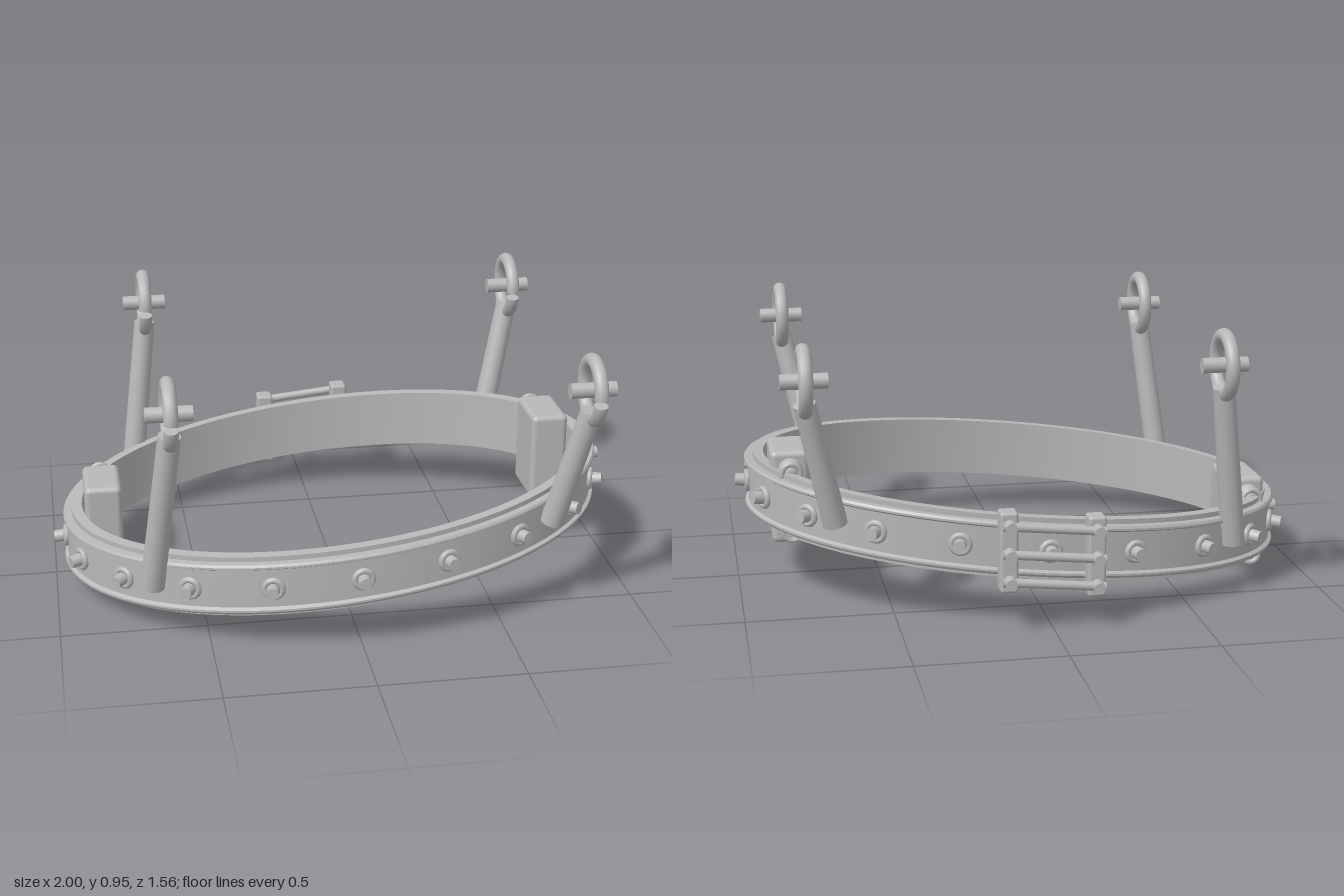
import * as THREE from 'three';
import { RoundedBoxGeometry } from 'three/addons/geometries/RoundedBoxGeometry.js';

const A = 0.965, B = 0.722, CZ = 0.02;          // belt ellipse and its centre in z
const beltY = (x) => 0.255 + 0.1 * x;           // the belt slopes up towards +x
const V = (x, y, z) => new THREE.Vector3(x, y, z);
const UP = V(0, 1, 0);

// outward normal, and a point offset d from the ellipse
const normalAt = (t) => V(Math.cos(t) / A, 0, Math.sin(t) / B).normalize();
function pointAt(t, d, y = 0) {
  const p = V(A * Math.cos(t), 0, CZ + B * Math.sin(t)).addScaledVector(normalAt(t), d);
  p.y = beltY(p.x) + y;
  return p;
}

// sweep a closed [offset, height] profile round the ellipse, creased at profile corners
function sweepBelt(profile, n) {
  const pos = [], idx = [];
  profile.forEach((p, k) => {
    const q = profile[(k + 1) % profile.length], base = pos.length / 3;
    for (let i = 0; i < n; i++) {
      const t = (i / n) * Math.PI * 2;
      pos.push(...pointAt(t, ...p).toArray(), ...pointAt(t, ...q).toArray());
      const a = base + 2 * i, c = base + 2 * ((i + 1) % n);
      idx.push(a, a + 1, c, a + 1, c + 1, c);
    }
  });
  const g = new THREE.BufferGeometry();
  g.setAttribute('position', new THREE.Float32BufferAttribute(pos, 3));
  g.setIndex(idx);
  g.computeVertexNormals();
  return g;
}

export function createModel() {
  const model = new THREE.Group();
  model.name = 'harnessBelt';
  const steel = new THREE.MeshStandardMaterial({ color: 0xb8b8b8 });
  steel.name = 'steel grey';

  const add = (name, geo, x = 0, y = 0, z = 0) => {
    const m = new THREE.Mesh(geo, steel);
    m.name = name;
    m.position.set(x, y, z);
    model.add(m);
    return m;
  };
  // cylinder from a to b
  const rod = (name, a, b, r0, r1 = r0) => {
    const d = b.clone().sub(a);
    const m = add(name, new THREE.CylinderGeometry(r1, r0, d.length(), 20));
    m.position.copy(a).addScaledVector(d, 0.5);
    m.quaternion.setFromUnitVectors(UP, d.normalize());
    return m;
  };

  // belt with raised rims and a taller liner
  add('belt', sweepBelt([
    [-0.067, -0.107], [-0.03, -0.107], [-0.03, -0.09], [-0.005, -0.09], [0, -0.082], [0, -0.075],
    [-0.012, -0.068], [-0.012, 0.068], [0, 0.075], [0, 0.082], [-0.005, 0.09], [-0.03, 0.09],
    [-0.03, 0.107], [-0.067, 0.107],
  ], 80));

  // studs with collars
  for (let i = 0; i < 20; i++) {
    const t = (i / 20) * Math.PI * 2;
    rod('stud', pointAt(t, -0.03), pointAt(t, 0.035), 0.024, 0.021);
    const collar = add('studCollar', new THREE.TorusGeometry(0.03, 0.011, 8, 20));
    collar.position.copy(pointAt(t, -0.008));
    collar.quaternion.setFromUnitVectors(V(0, 0, 1), normalAt(t));
  }

  // four hanging arms, each with an open ring and a cross pin
  const sides = [
    { low: V(-0.685, 0.185, 0), topX: -0.617 },
    { low: V(0.69, 0.325, 0), topX: 0.787 },
  ];
  for (const { low, topX } of sides) {
    for (const [lowZ, topZ] of [[0.535, 0.612], [-0.49, -0.56]]) {
      rod('hangingArm', V(low.x, low.y, lowZ), V(topX, 0.755, topZ), 0.042, 0.038);
      const ring = new THREE.TorusGeometry(0.1, 0.024, 12, 40, 6.08).rotateY(-Math.PI / 2);
      add('hangingRing', ring, topX, 0.83, topZ);
      // rounded ends of the open ring
      for (const a of [0, 6.08]) {
        add('ringEnd', new THREE.CircleGeometry(0.024, 12).rotateX(a ? -Math.PI / 2 : Math.PI / 2)
          .rotateX(-a), topX, 0.83 + 0.1 * Math.sin(a), topZ + 0.1 * Math.cos(a));
      }
      rod('crossPin', V(topX - 0.078, 0.83, topZ), V(topX + 0.078, 0.83, topZ), 0.026);
    }
  }

  // side pouches with ball fasteners on the back face
  for (const [x, y] of [[-0.82, 0.167], [0.818, 0.342]]) {
    add('pouch', new RoundedBoxGeometry(0.133, 0.328, 0.232, 3, 0.02), x, y, -0.089);
    for (const dy of [-0.103, 0.103]) {
      add('fastenerBall', new THREE.SphereGeometry(0.042, 20, 14), x, y + dy, -0.226);
      add('fastenerRing', new THREE.TorusGeometry(0.032, 0.01, 8, 20), x, y + dy, -0.27);
    }
  }

  // rear buckle: two posts joined by three bars with end knobs
  for (const x of [-0.147, 0.147]) {
    add('bucklePost', new RoundedBoxGeometry(0.06, 0.275, 0.068, 2, 0.01), x, beltY(x), -0.709);
  }
  for (const dy of [-0.095, 0, 0.095]) {
    const end = (x) => V(x, beltY(x) + dy, -0.757);
    rod('buckleBar', end(-0.172), end(0.172), 0.015);
    for (const x of [-0.147, 0.147]) {
      const p = end(x);
      rod('buckleKnob', V(p.x, p.y, -0.735), V(p.x, p.y, -0.785), 0.021, 0.019);
    }
  }
  return model;
}
